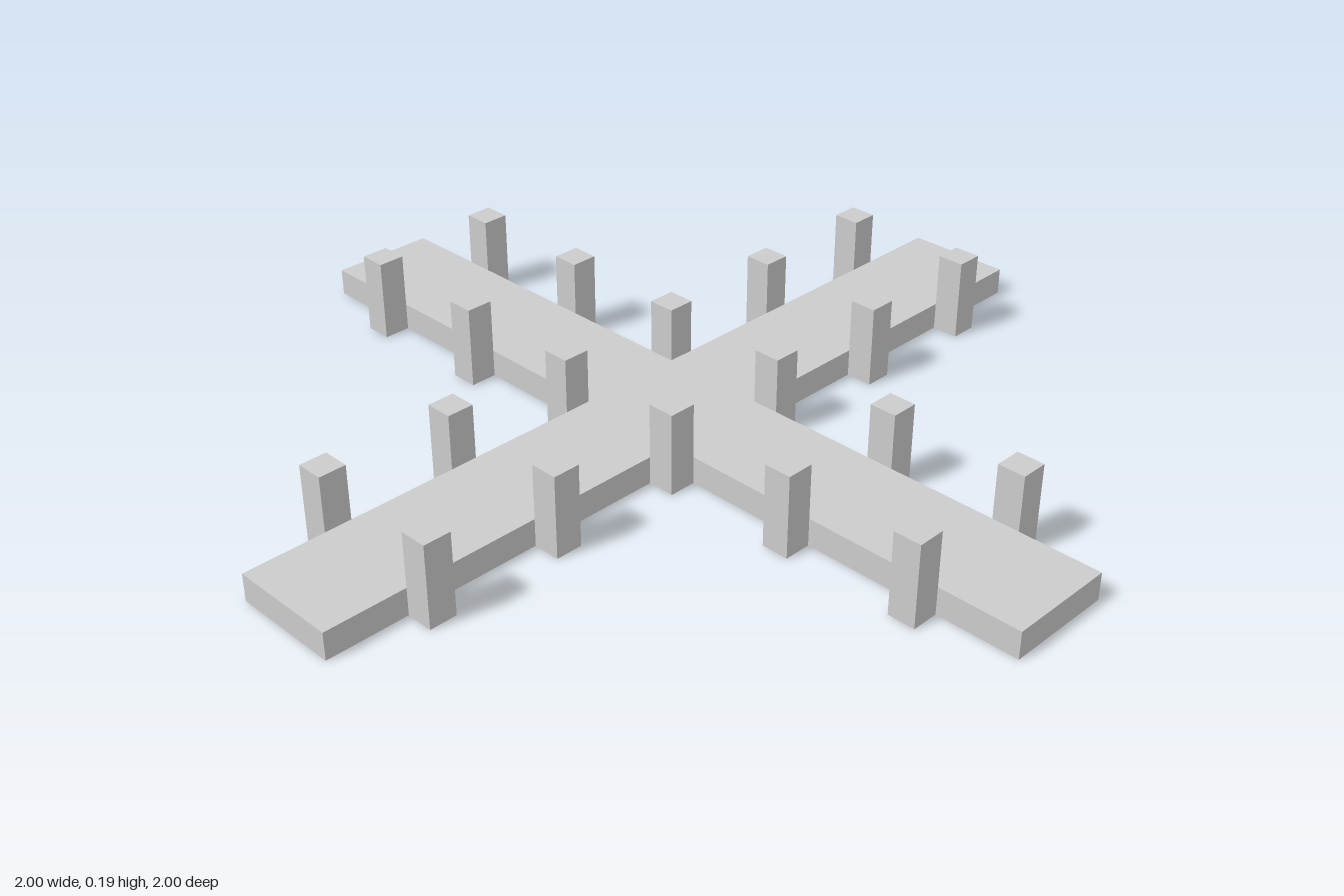
import * as THREE from 'three';

const U = 1 / 16; // module: post width and deck thickness
const HALF_WIDTH = 2 * U;
const POST_HEIGHT = 3 * U;

export function createModel() {
  const model = new THREE.Group();
  model.name = 'crossWalkway';
  const material = new THREE.MeshStandardMaterial({ color: 0xcccccc, flatShading: true });

  // Cross-shaped deck, extruded upward from the ground
  const w = HALF_WIDTH;
  const outline = [
    [1, -w], [1, w], [w, w], [w, 1], [-w, 1], [-w, w],
    [-1, w], [-1, -w], [-w, -w], [-w, -1], [w, -1], [w, -w],
  ].map(([x, y]) => new THREE.Vector2(x, y));
  const deckGeometry = new THREE.ExtrudeGeometry(new THREE.Shape(outline), { depth: U, bevelEnabled: false });
  deckGeometry.rotateX(-Math.PI / 2);
  const deck = new THREE.Mesh(deckGeometry, material);
  deck.name = 'deck';
  model.add(deck);

  // Square posts standing against the deck's edges
  const postGeometry = new THREE.BoxGeometry(U, POST_HEIGHT, U);
  postGeometry.translate(0, POST_HEIGHT / 2, 0);
  const addPost = (name, x, z) => {
    const post = new THREE.Mesh(postGeometry, material);
    post.name = name;
    post.position.set(x, 0, z);
    model.add(post);
  };

  const edge = HALF_WIDTH + U / 2;
  for (const sx of [-1, 1]) {
    for (const sz of [-1, 1]) {
      // One post in each inner corner, then two more along each arm
      addPost('cornerPost', sx * edge, sz * edge);
      for (const step of [1, 2]) {
        const along = edge + step * 5 * U;
        addPost('sideArmPost', sx * along, sz * edge);
        addPost('lengthArmPost', sx * edge, sz * along);
      }
    }
  }

  return model;
}
